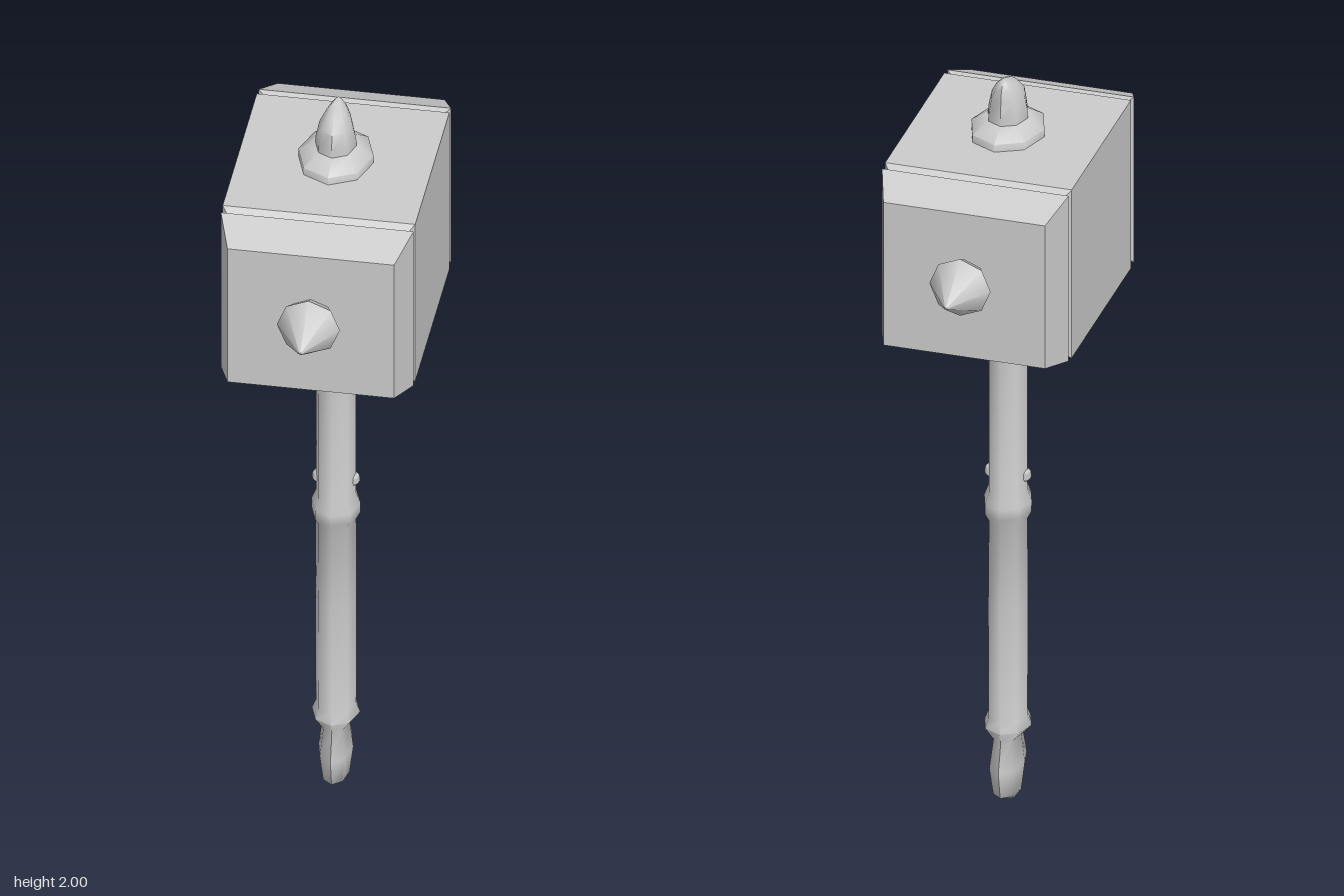
import * as THREE from 'three';
import { toCreasedNormals } from 'three/addons/utils/BufferGeometryUtils.js';

// Closed loft along z through rings [z, halfWidth, halfHeight, centreX, centreY].
function loft(rings, sides, square = false) {
  const position = [], index = [];
  const phase = square ? Math.PI / 4 : 0;
  const scale = square ? Math.SQRT2 : 1;
  for (const [z, rx, ry, cx = 0, cy = 0] of rings) {
    for (let j = 0; j < sides; j++) {
      const a = phase + (j / sides) * Math.PI * 2;
      position.push(cx + rx * scale * Math.cos(a), cy + ry * scale * Math.sin(a), z);
    }
  }
  for (let i = 0; i < rings.length - 1; i++) {
    for (let j = 0; j < sides; j++) {
      const k = (j + 1) % sides;
      const a = i * sides + j, b = i * sides + k;
      index.push(a, b, b + sides, a, b + sides, a + sides);
    }
  }
  // end caps
  const last = (rings.length - 1) * sides;
  for (let j = 1; j < sides - 1; j++) {
    index.push(0, j + 1, j, last, last + j, last + j + 1);
  }
  const geometry = new THREE.BufferGeometry();
  geometry.setAttribute('position', new THREE.Float32BufferAttribute(position, 3));
  geometry.setIndex(index);
  return geometry;
}

// Upright eight-sided part from rings [y, halfWidth, halfDepth, centreX, centreZ].
function upright(rings) {
  return loft(rings.map(([y, rx, rz, cx = 0, cz = 0]) => [y, rx, rz, cx, -cz]), 8).rotateX(-Math.PI / 2);
}

export function createModel() {
  const group = new THREE.Group();
  const material = new THREE.MeshStandardMaterial({ color: 0xcccccc });
  const add = (name, geometry, crease = 1) => {
    const mesh = new THREE.Mesh(toCreasedNormals(geometry, crease), material);
    mesh.name = name;
    group.add(mesh);
    return mesh;
  };

  // Head: block, narrow groove and tapered striking face at each end
  const cy = 1.608;
  const half = [
    [0.243, 0.238, 0.232, 0, cy],
    [0.26, 0.222, 0.215, 0, cy],
    [0.268, 0.238, 0.228, 0, cy],
    [0.36, 0.206, 0.197, 0, 1.598],
  ];
  const back = half.map(([z, ...rest]) => [-z, ...rest]).reverse();
  add('hammerHead', loft([...back, ...half], 4, true), 0.1);

  // Spikes on both striking faces
  for (const [name, turn] of [['frontSpike', 0], ['backSpike', Math.PI]]) {
    const spike = add(name, loft([
      [0.35, 0.054, 0.054], [0.394, 0.078, 0.078], [0.514, 0.0005, 0.0005],
    ], 8));
    spike.position.y = 1.61;
    spike.rotation.y = turn;
  }

  // Collars above and below the head
  add('topCollar', upright([
    [1.83, 0.093, 0.113], [1.86, 0.093, 0.113], [1.885, 0.058, 0.07],
  ]));
  add('bottomCollar', upright([
    [1.33, 0.058, 0.07], [1.353, 0.093, 0.113], [1.385, 0.093, 0.113],
  ]));

  // Top finial, with its tip leaning back
  add('finial', upright([
    [1.87, 0.051, 0.063], [1.905, 0.05, 0.062], [1.948, 0.041, 0.059],
    [1.978, 0.025, 0.042, 0, -0.012], [1.993, 0.011, 0.018, 0, -0.026],
    [2.0, 0.001, 0.001, 0, -0.036],
  ]));

  // Handle with a middle ring, a lower ring and a flattened pommel
  add('handle', upright([
    [0.008, 0.001, 0.002, -0.015], [0.035, 0.034, 0.064], [0.11, 0.043, 0.08],
    [0.185, 0.034, 0.06], [0.215, 0.06, 0.072], [0.24, 0.05, 0.063],
    [0.55, 0.051, 0.066], [0.785, 0.05, 0.06], [0.805, 0.06, 0.071],
    [0.833, 0.061, 0.072], [0.862, 0.05, 0.062], [1.34, 0.05, 0.058],
  ]), 1.1);

  // Small studs on both sides of the handle
  for (const side of [-1, 1]) {
    const stud = add(side > 0 ? 'leftStud' : 'rightStud', new THREE.SphereGeometry(0.018, 10, 8));
    stud.position.set(side * 0.042, 0.9, 0);
  }

  // Rest the pommel on the ground
  for (const part of group.children) {
    if (part.name === 'handle') part.geometry.translate(0, -0.004, 0);
  }
  return group;
}
